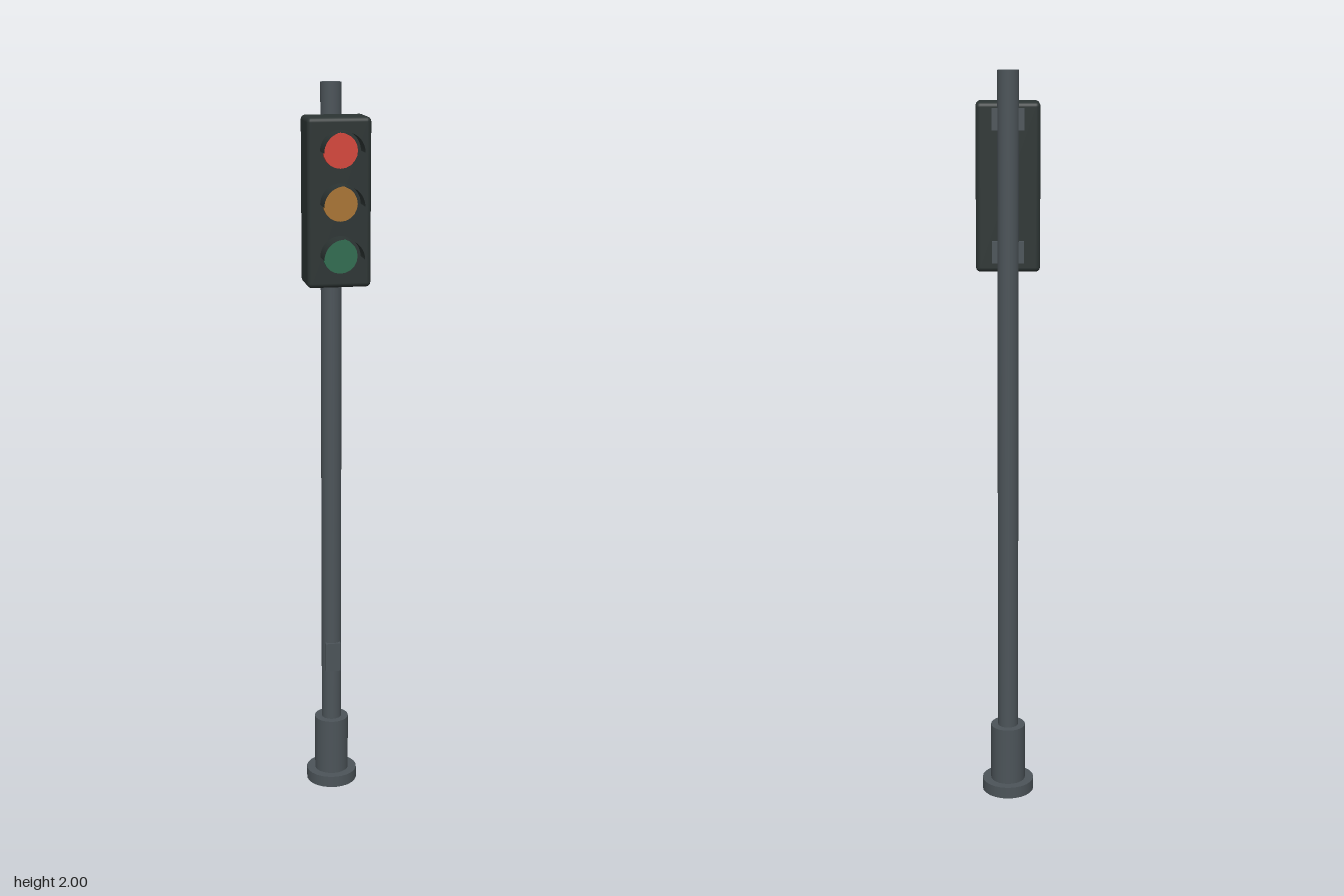
import * as THREE from 'three';
import { RoundedBoxGeometry } from 'three/addons/geometries/RoundedBoxGeometry.js';

function material(name, color, side = THREE.FrontSide) {
  const m = new THREE.MeshStandardMaterial({ color, side });
  m.name = name;
  return m;
}

export function createModel() {
  const group = new THREE.Group();
  const metal = material('pole grey', 0x4c5459);
  const dark = material('housing dark green grey', 0x2c3433, THREE.DoubleSide);
  const lensColors = [
    material('lens red', 0xd4453a),
    material('lens amber', 0xa87433),
    material('lens green', 0x306c50),
  ];

  function add(name, geometry, mat, x, y, z) {
    const mesh = new THREE.Mesh(geometry, mat);
    mesh.name = name;
    mesh.position.set(x, y, z);
    group.add(mesh);
    return mesh;
  }

  // Upright: foot flange, sleeve and pole share one axis
  const poleZ = -0.065;
  const upright = (name, r, y0, y1) =>
    add(name, new THREE.CylinderGeometry(r, r, y1 - y0, 24), metal, 0, (y0 + y1) / 2, poleZ);
  upright('baseFlange', 0.072, 0, 0.033);
  upright('baseSleeve', 0.048, 0.033, 0.197);
  upright('pole', 0.028, 0.197, 2);

  // Service hatch on the front of the pole
  add('serviceHatch', new THREE.BoxGeometry(0.042, 0.085, 0.02), metal, 0, 0.392, -0.042);

  // Signal housing and the brackets behind it
  add('housing', new RoundedBoxGeometry(0.168, 0.438, 0.115, 3, 0.012), dark, 0, 1.7, 0.0045);
  for (const y of [1.877, 1.535]) {
    add('mountingBracket', new THREE.BoxGeometry(0.084, 0.056, 0.022), metal, 0, y, -0.06);
  }

  // Three lamps, each a lens disc under a half-round visor
  const lensGeometry = new THREE.CylinderGeometry(0.045, 0.045, 0.018, 20).rotateX(Math.PI / 2);
  const visorGeometry = new THREE.CylinderGeometry(0.053, 0.053, 0.062, 20, 1, true, Math.PI / 2, Math.PI)
    .rotateX(Math.PI / 2);
  lensColors.forEach((mat, i) => {
    const y = 1.836 - i * 0.135;
    add('lens', lensGeometry, mat, 0, y, 0.066);
    add('visor', visorGeometry, dark, 0, y, 0.104);
  });

  return group;
}
